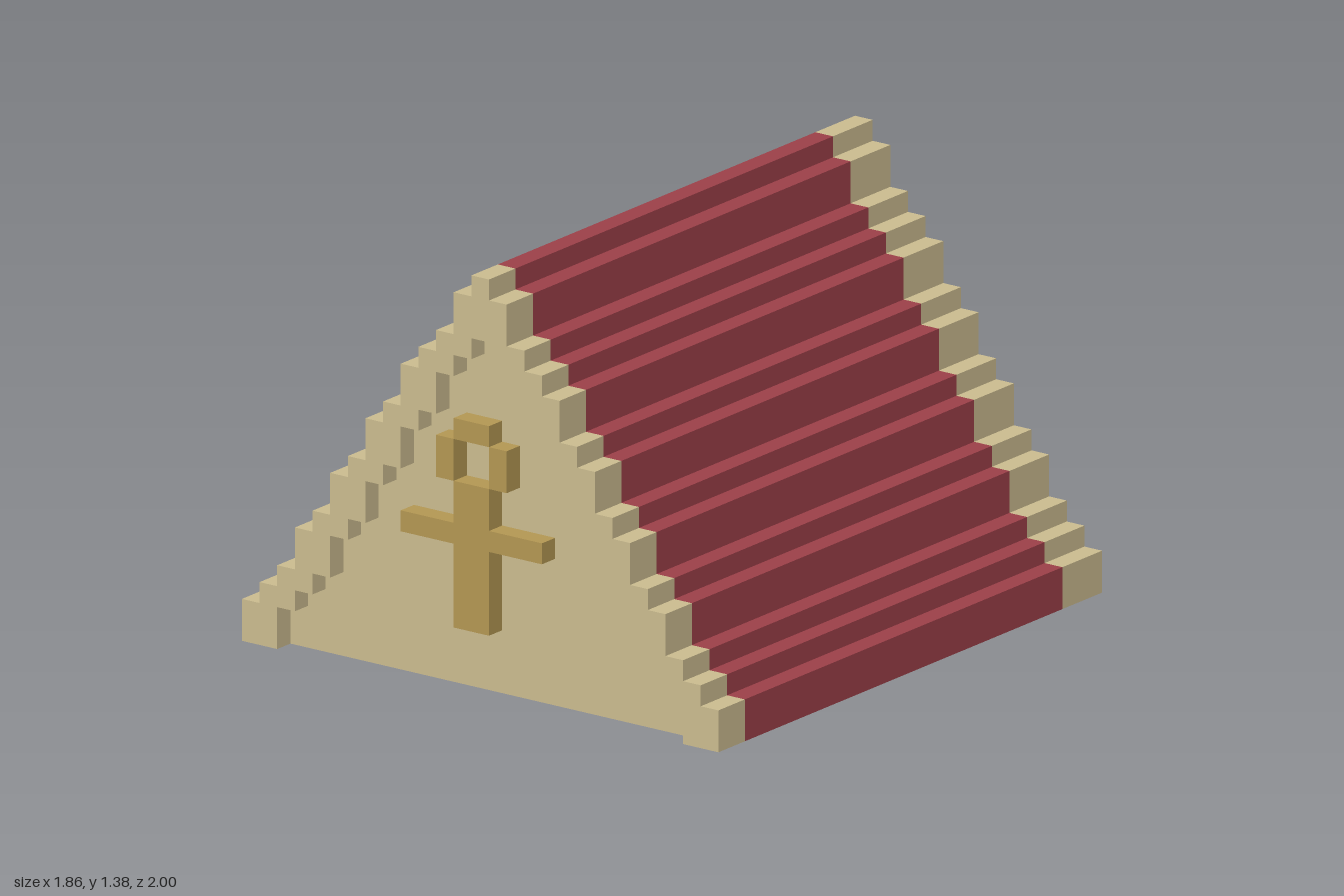
import * as THREE from 'three';

// One block of the stepped grid
const U = 2 / 29;

// Height in blocks reached by each step, from the eaves to the ridge
const STEP_TOPS = [2, 3, 4, 6, 7, 9, 10, 12, 13, 15, 16, 17, 19, 20];

function material(name, color) {
  const m = new THREE.MeshStandardMaterial({ color });
  m.name = name;
  return m;
}

// Stepped outline from the right foot over the ridge to the left foot
function stairOutline(inset) {
  const right = [];
  let y = 0;
  for (let i = 0; i < STEP_TOPS.length - inset; i++) {
    const x = 13.5 - inset - i;
    right.push([x, y], [x, STEP_TOPS[i]]);
    y = STEP_TOPS[i];
  }
  const left = right.map(([x, h]) => [-x, h]).reverse();
  return [...right, ...left].map(([x, h]) => new THREE.Vector2(x * U, h * U));
}

// Extrudes an outline between two z positions given in blocks
function prism(name, points, z0, z1, mat) {
  const geometry = new THREE.ExtrudeGeometry(new THREE.Shape(points), {
    depth: (z1 - z0) * U, bevelEnabled: false,
  });
  geometry.translate(0, 0, z0 * U);
  const mesh = new THREE.Mesh(geometry, mat);
  mesh.name = name;
  return mesh;
}

// Box between block coordinates, one block deep around z
function block(name, [x0, x1, y0, y1], z, mat) {
  const mesh = new THREE.Mesh(
    new THREE.BoxGeometry((x1 - x0) * U, (y1 - y0) * U, U), mat);
  mesh.position.set((x0 + x1) / 2 * U, (y0 + y1) / 2 * U, z * U);
  mesh.name = name;
  return mesh;
}

export function createModel() {
  const sand = material('sandstone', 0xc9ba8e);
  const red = material('red roof', 0x9b3f48);
  const gold = material('gold', 0xb29652);

  const model = new THREE.Group();
  model.name = 'steppedTent';

  // Roof shell: red middle with sandstone end trims
  const shell = [...stairOutline(0), ...stairOutline(2).reverse()];
  model.add(
    prism('roof', shell, -11.5, 12.5, red),
    prism('frontTrim', shell, 12.5, 14.5, sand),
    prism('backTrim', shell, -14.5, -11.5, sand),
  );

  // Solid body whose ends form the recessed gables
  model.add(prism('gableBody', stairOutline(2), -13.5, 13.5, sand));

  // Looped cross on each gable
  for (const [name, z] of [['frontAnkh', 14], ['backAnkh', -14]]) {
    const ankh = new THREE.Group();
    ankh.name = name;
    ankh.add(
      block('post', [-1.5, 0.5, 3, 10], z, gold),
      block('leftArm', [0.5, 3.5, 7, 8], z, gold),
      block('rightArm', [-4.5, -1.5, 7, 8], z, gold),
      block('loopLeft', [0.5, 1.5, 10, 12], z, gold),
      block('loopRight', [-2.5, -1.5, 10, 12], z, gold),
      block('loopTop', [-1.5, 0.5, 12, 13], z, gold),
    );
    model.add(ankh);
  }
  return model;
}
